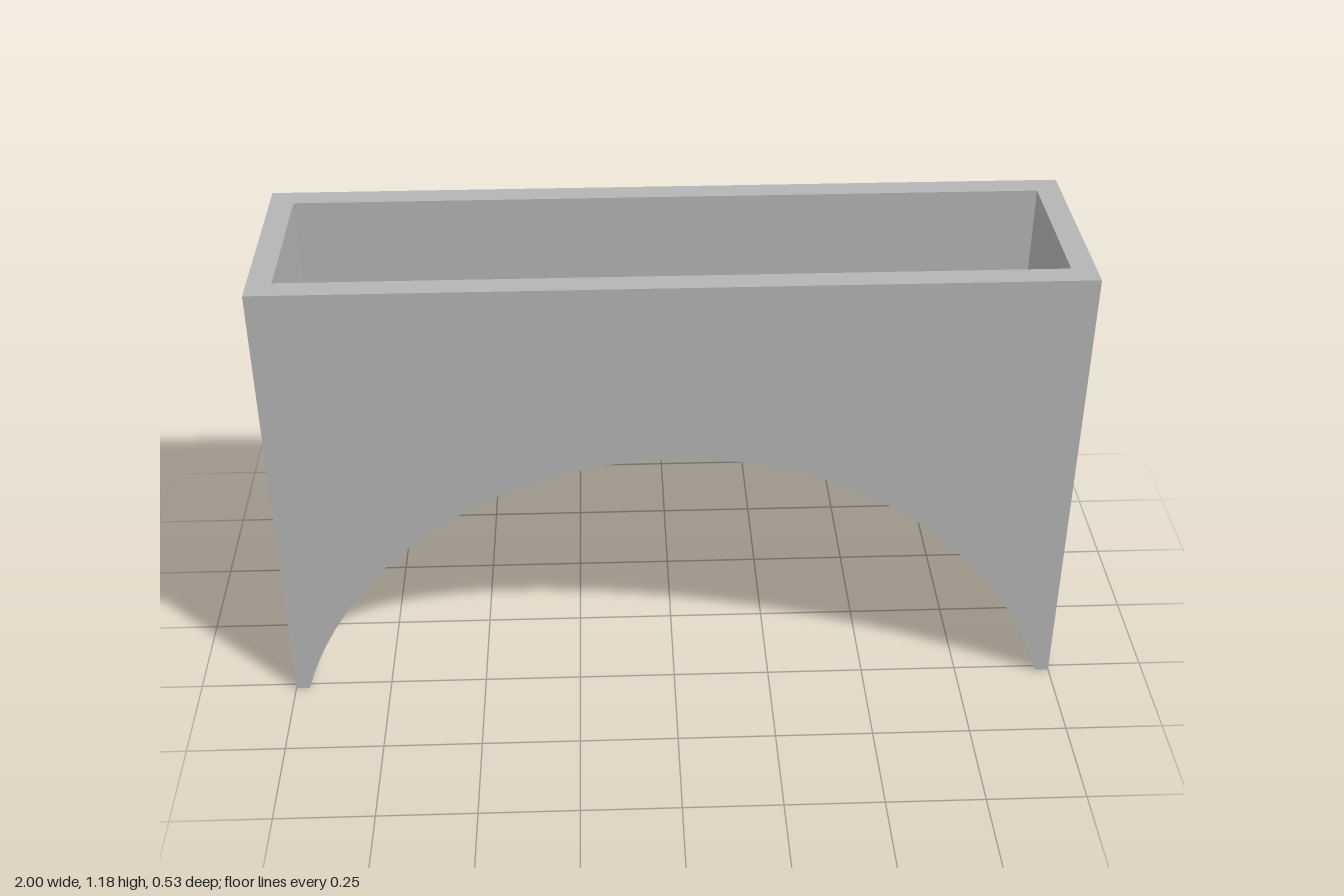
import * as THREE from 'three';
import { toCreasedNormals } from 'three/addons/utils/BufferGeometryUtils.js';

const W = 1, H = 1.185, D = 0.267, T = 0.06; // half width, height, half depth, wall
const R = 1.013, CY = -0.308;                // arch radius and centre height
const SEGMENTS = 72;

// U-shaped profile, top left to top right, with an arc of the given radius at the bottom
function profile(halfWidth, radius, arcHalf, footY) {
  const pts = [new THREE.Vector2(-halfWidth, H)];
  if (arcHalf < halfWidth) pts.push(new THREE.Vector2(-halfWidth, footY));
  const a = Math.asin(arcHalf / radius);
  for (let i = 0; i <= SEGMENTS; i++) {
    const t = -a + (2 * a * i) / SEGMENTS;
    pts.push(new THREE.Vector2(radius * Math.sin(t), CY + radius * Math.cos(t)));
  }
  if (arcHalf < halfWidth) pts.push(new THREE.Vector2(halfWidth, footY));
  pts.push(new THREE.Vector2(halfWidth, H));
  return pts;
}

// Surface swept along z from a profile; faces lie to the right of its direction
function strip(pts, h) {
  const pos = [];
  for (let i = 0; i < pts.length - 1; i++) {
    const p = pts[i], q = pts[i + 1];
    pos.push(p.x, p.y, h, p.x, p.y, -h, q.x, q.y, -h);
    pos.push(p.x, p.y, h, q.x, q.y, -h, q.x, q.y, h);
  }
  const g = new THREE.BufferGeometry();
  g.setAttribute('position', new THREE.Float32BufferAttribute(pos, 3));
  return toCreasedNormals(g, 0.4);
}

function rectangle(path, x, y) {
  path.moveTo(-x, -y).lineTo(x, -y).lineTo(x, y).lineTo(-x, y).closePath();
  return path;
}

export function createModel() {
  const model = new THREE.Group();
  model.name = 'archedPlanter';
  const grey = new THREE.MeshStandardMaterial({ color: 0xb4b4b4 });
  grey.name = 'grey';

  function add(name, geometry, z = 0, turned = false) {
    const mesh = new THREE.Mesh(geometry, grey);
    mesh.name = name;
    mesh.position.z = z;
    if (turned) mesh.rotation.y = Math.PI;
    model.add(mesh);
    return mesh;
  }

  // Outside: arched front and back, side walls, feet and vault
  const archHalf = Math.sqrt(R * R - CY * CY);
  const outer = profile(W, R, archHalf, 0);
  const outerFace = new THREE.ShapeGeometry(new THREE.Shape(outer));
  add('frontFace', outerFace, D);
  add('backFace', outerFace, -D, true);
  add('sidesAndVault', strip(outer, D));

  // Inside: open trough whose floor follows the arch
  const inner = profile(W - T, R + T, W - T, 0);
  const innerFace = new THREE.ShapeGeometry(new THREE.Shape(inner));
  add('troughFrontWall', innerFace, D - T, true);
  add('troughBackWall', innerFace, T - D);
  add('troughFloorAndEnds', strip([...inner].reverse(), D - T));

  // Top rim around the opening
  const rim = rectangle(new THREE.Shape(), W, D);
  rim.holes.push(rectangle(new THREE.Path(), W - T, D - T));
  const rimMesh = add('rim', new THREE.ShapeGeometry(rim));
  rimMesh.rotation.x = -Math.PI / 2;
  rimMesh.position.y = H;

  return model;
}
